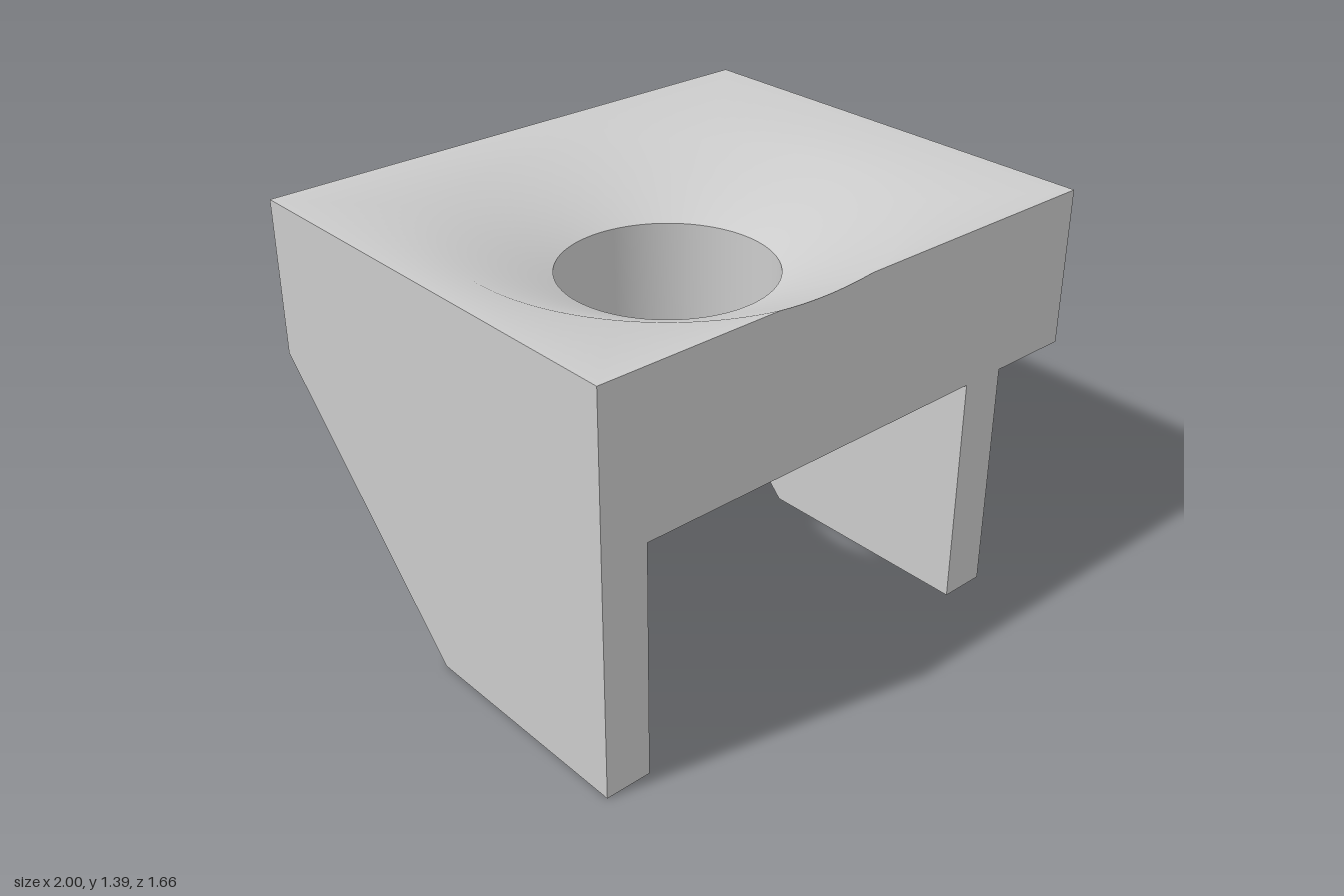
import * as THREE from 'three';
import { toCreasedNormals } from 'three/addons/utils/BufferGeometryUtils.js';

const HALF_X = 1, HALF_Z = 0.83;          // slab footprint
const TOP = 1.39, UNDER = 0.835;          // slab heights
const HOLE = { x: -0.15, z: 0.135, r: 0.363 };
const SINK_R = 0.72, SINK_DEPTH = 0.17;   // conical countersink

// Distance from the hole axis to the slab border in direction a
function borderDistance(a) {
  const c = Math.cos(a), s = Math.sin(a);
  const dx = ((c > 0 ? HALF_X : -HALF_X) - HOLE.x) / c;
  const dz = ((s > 0 ? HALF_Z : -HALF_Z) - HOLE.z) / s;
  return Math.min(Math.abs(c) < 1e-9 ? Infinity : dx, Math.abs(s) < 1e-9 ? Infinity : dz);
}

const topHeight = (r) => TOP - SINK_DEPTH * Math.max(0, (SINK_R - r) / (SINK_R - HOLE.r));

// Slab with off-centre hole: closed loop of rings swept round the hole axis
function slabGeometry() {
  const angles = [];
  const N = 120;
  for (let i = 0; i < N; i++) angles.push((i / N) * Math.PI * 2);
  for (const sx of [-1, 1]) for (const sz of [-1, 1]) {
    const a = Math.atan2(sz * HALF_Z - HOLE.z, sx * HALF_X - HOLE.x);
    angles.push((a + Math.PI * 2) % (Math.PI * 2));
  }
  angles.sort((a, b) => a - b);

  const pos = [], index = [];
  for (const a of angles) {
    const edge = borderDistance(a);
    const sink = Math.min(SINK_R, edge);
    const section = [
      [HOLE.r, UNDER], [HOLE.r, topHeight(HOLE.r)], [sink, topHeight(sink)],
      [edge, topHeight(edge)], [edge, UNDER],
    ];
    for (const [r, y] of section) pos.push(HOLE.x + r * Math.cos(a), y, HOLE.z + r * Math.sin(a));
  }
  const K = 5, M = angles.length;
  for (let i = 0; i < M; i++) for (let k = 0; k < K; k++) {
    const a = i * K + k, b = ((i + 1) % M) * K + k;
    const c = i * K + (k + 1) % K, d = ((i + 1) % M) * K + (k + 1) % K;
    index.push(a, b, c, b, d, c);
  }
  const geo = new THREE.BufferGeometry();
  geo.setAttribute('position', new THREE.Float32BufferAttribute(pos, 3));
  geo.setIndex(index);
  return toCreasedNormals(geo, THREE.MathUtils.degToRad(35));
}

// Side plate with a sloping back edge, profile drawn in z and y
function legGeometry(width) {
  const shape = new THREE.Shape([
    new THREE.Vector2(HALF_Z, 0), new THREE.Vector2(HALF_Z, UNDER),
    new THREE.Vector2(-HALF_Z, UNDER), new THREE.Vector2(0, 0),
  ]);
  const geo = new THREE.ExtrudeGeometry(shape, { depth: width, bevelEnabled: false });
  return geo.rotateY(-Math.PI / 2).translate(width, 0, 0);
}

export function createModel() {
  const group = new THREE.Group();
  group.name = 'bracket';
  const material = new THREE.MeshStandardMaterial({ color: 0xcccccc });

  const slab = new THREE.Mesh(slabGeometry(), material);
  slab.name = 'countersunkSlab';
  group.add(slab);

  const legGeo = legGeometry(0.165);
  for (const [name, x] of [['rightLeg', -1], ['leftLeg', 0.532]]) {
    const leg = new THREE.Mesh(legGeo, material);
    leg.name = name;
    leg.position.x = x;
    group.add(leg);
  }
  return group;
}
